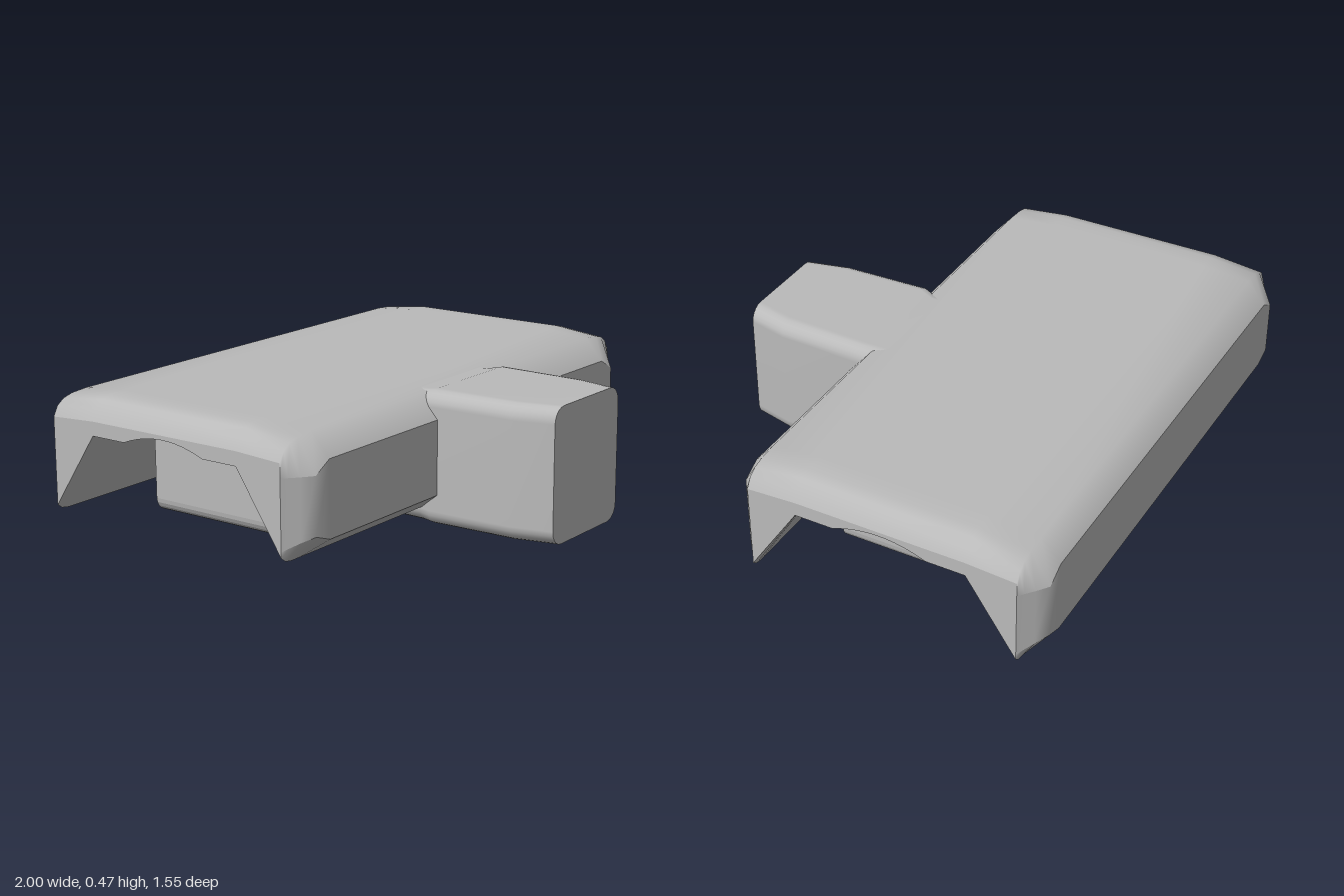
import * as THREE from 'three';

// Skin a grid of points: rows run along the part, columns run round its section.
function skin(rows) {
  const cols = rows[0].length, index = [];
  for (let i = 0; i < rows.length - 1; i++) {
    for (let j = 0; j < cols - 1; j++) {
      const a = i * cols + j, b = a + cols;
      index.push(a, a + 1, b, a + 1, b + 1, b);
    }
  }
  const g = new THREE.BufferGeometry();
  g.setAttribute('position', new THREE.Float32BufferAttribute(rows.flat(2), 3));
  g.setIndex(index);
  g.computeVertexNormals();
  return g;
}

// Counterclockwise rounded rectangle, half width w, from y = 0 to y = h.
function roundedRect(w, h, r) {
  const pts = [];
  const corners = [[w - r, r, -0.5], [w - r, h - r, 0], [r - w, h - r, 0.5], [r - w, r, 1]];
  for (const [cx, cy, start] of corners) {
    for (let k = 0; k <= 5; k++) {
      const a = (start + k / 10) * Math.PI;
      pts.push(new THREE.Vector2(cx + r * Math.cos(a), cy + r * Math.sin(a)));
    }
  }
  return pts;
}

export function createModel() {
  const group = new THREE.Group();
  const grey = new THREE.MeshStandardMaterial({ color: 0xbababa });
  const add = (name, geometry, parent = group) => {
    const mesh = new THREE.Mesh(geometry, grey);
    mesh.name = name;
    parent.add(mesh);
    return mesh;
  };

  // Shell sections: x, top height, shoulder height, outer half depth, side top, side bottom, foot height
  const half = [
    [0.84, 0.475, 0.46, 0.56, 0.38, 0.115, 0.06],
    [0.91, 0.475, 0.455, 0.56, 0.34, 0.14, 0.06],
    [0.95, 0.465, 0.445, 0.53, 0.34, 0.125, 0.06],
    [0.98, 0.44, 0.425, 0.505, 0.34, 0.11, 0.065],
    [1, 0.4, 0.39, 0.49, 0.34, 0.1, 0.08],
  ];
  const stations = [...half.map(([x, ...s]) => [-x, ...s]).reverse(), ...half];

  // Shallow arch in the middle of the ceiling
  const arch = [];
  for (let k = 0; k <= 12; k++) {
    const u = 0.17 * (1 - k / 6);
    arch.push([u, 0.35 + 0.035 * (1 - (u / 0.17) ** 2)]);
  }
  const mirror = (run) => run.map(([u, y]) => [-u, y]).reverse();

  // Each run is a smooth strip; creases lie between runs.
  function shellRuns([, top, shoulder, d, sideTop, sideLow, foot]) {
    const front = [
      [[d, sideTop], [d, sideLow]],
      [[d, sideLow], [0.49, foot]],
      [[0.49, foot], [0.31, 0.35]],
    ];
    return [
      [[-d, sideTop], [-0.49, shoulder], [-0.31, top], [0.31, top], [0.49, shoulder], [d, sideTop]],
      ...front,
      [[0.31, 0.35], [0.17, 0.35]],
      arch,
      [[-0.17, 0.35], [-0.31, 0.35]],
      ...front.map(mirror).reverse(),
    ];
  }

  const shell = new THREE.Group();
  shell.name = 'shell';
  shell.position.z = -0.215;
  group.add(shell);
  const sections = stations.map(shellRuns);
  sections[0].forEach((_, r) => {
    const rows = sections.map((s, i) => s[r].map(([u, y]) => [stations[i][0], y, u]));
    add('shellSurface' + r, skin(rows), shell);
  });

  // Flat ends of the shell
  const outline = sections[0].flatMap((run) => run.slice(0, -1)).map(([u, y]) => new THREE.Vector2(u, y));
  for (const side of [-1, 1]) {
    const end = add('shellEnd', new THREE.ShapeGeometry(new THREE.Shape(outline)), shell);
    end.rotation.y = side * Math.PI / 2;
    end.position.x = side;
  }

  // Cross block under the shell
  const block = new THREE.ExtrudeGeometry(new THREE.Shape(roundedRect(0.67, 0.4, 0.05)), { depth: 0.685, bevelEnabled: false });
  add('crossBlock', block).position.z = -0.555;

  // Tapered stem at the front: z, half width, height
  const stemStations = [[0.1, 0.23, 0.46], [0.26, 0.235, 0.465], [0.31, 0.25, 0.475], [0.63, 0.24, 0.475], [0.78, 0.205, 0.475]];
  add('stem', skin(stemStations.map(([z, w, h]) => {
    const ring = roundedRect(w, h, 0.055);
    return [...ring, ring[0]].map((p) => [p.x, p.y, z]);
  })));
  const face = new THREE.ShapeGeometry(new THREE.Shape(roundedRect(0.205, 0.475, 0.055)));
  add('stemFace', face).position.z = 0.78;

  return group;
}
